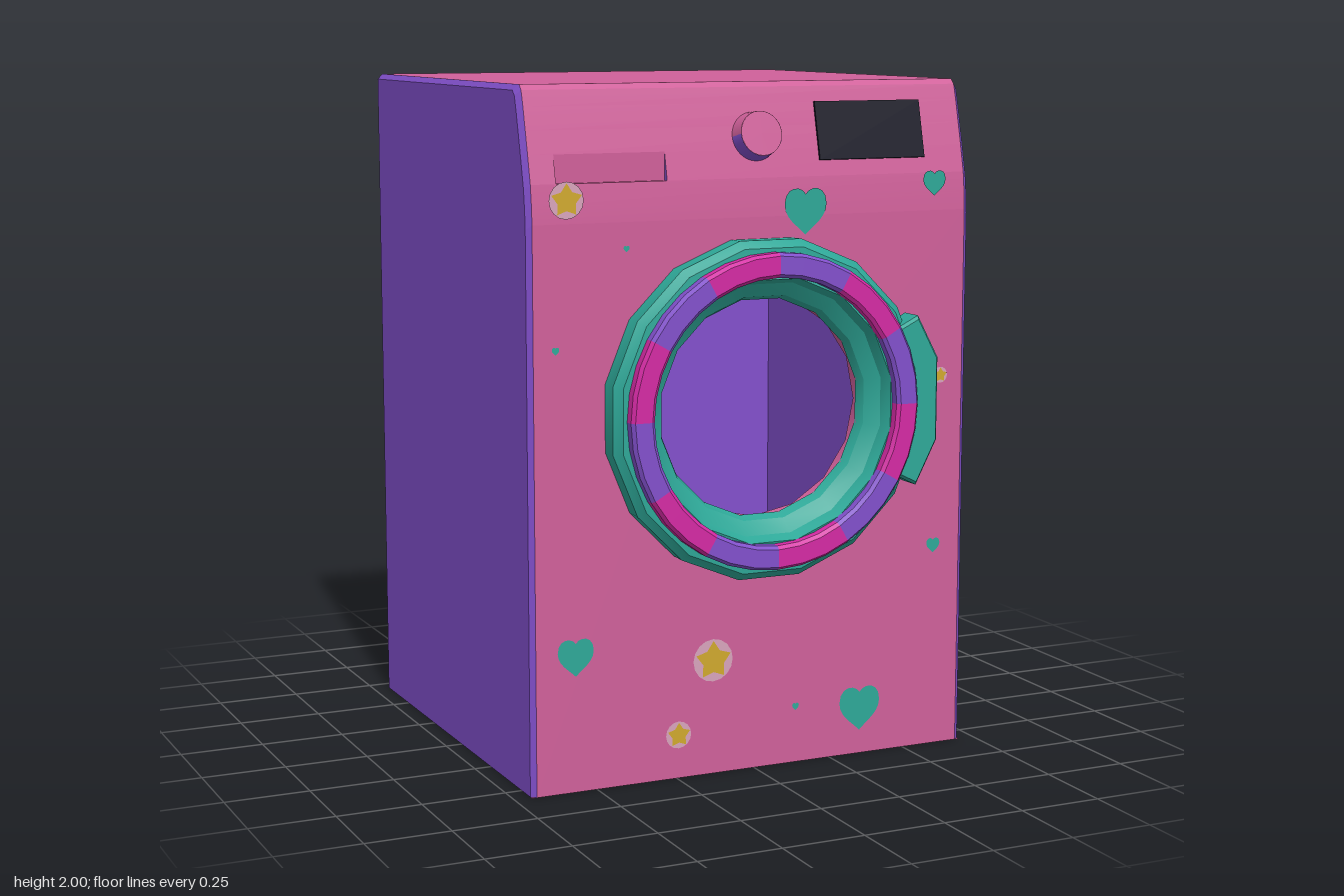
import * as THREE from 'three';
import { toCreasedNormals } from 'three/addons/utils/BufferGeometryUtils.js';

const material = (name, color, side = THREE.DoubleSide) => {
  const m = new THREE.MeshStandardMaterial({ color, side });
  m.name = name;
  return m;
};

export function createModel() {
  const pink = material('pink', 0xd0609a);
  const purple = material('purple', 0x8250cc);
  const teal = material('teal', 0x2ea898);
  const magenta = material('magenta', 0xd42aa4);
  const navy = material('navy', 0x0b0b20);
  const yellow = material('yellow', 0xd0a92e);
  const pale = material('pale pink', 0xd8a4bc);

  const model = new THREE.Group();
  model.name = 'washingMachine';
  const add = (name, geometry, mat, x = 0, y = 0, z = 0, parent = model) => {
    const mesh = new THREE.Mesh(geometry, mat);
    mesh.name = name;
    mesh.position.set(x, y, z);
    parent.add(mesh);
    return mesh;
  };

  // Cabinet dimensions and the leaning upper front, as [z, y]
  const W = 0.7, PANEL = 0.015, IN = W - PANEL, BACK = -0.7, FRONT = 0.58;
  const slope = [[FRONT, 1.62], [0.577, 1.67], [0.57, 1.73], [0.552, 1.81],
    [0.536, 1.875], [0.52, 1.94], [0.507, 1.985], [0.492, 2]];

  // Sheet swept across x along a [z, y] profile, running upwards on the front
  const sheet = (profile, x0, x1) => {
    const v = [];
    for (let i = 0; i < profile.length - 1; i++) {
      const [z0, y0] = profile[i], [z1, y1] = profile[i + 1];
      v.push(x0, y0, z0, x1, y0, z0, x1, y1, z1, x0, y0, z0, x1, y1, z1, x0, y1, z1);
    }
    const g = new THREE.BufferGeometry();
    g.setAttribute('position', new THREE.Float32BufferAttribute(v, 3));
    g.computeVertexNormals();
    return toCreasedNormals(g, 0.4);
  };

  // Side panels, with the outer face drawn in to bevel the front and top edges
  for (const dir of [-1, 1]) {
    const outline = new THREE.Shape([[BACK, 0], [FRONT, 0], ...slope, [BACK, 2]]
      .map(([z, y]) => new THREE.Vector2(z, y)));
    const g = new THREE.ExtrudeGeometry(outline, { depth: PANEL, bevelEnabled: false });
    g.rotateY(-Math.PI / 2).translate(dir > 0 ? W : -IN, 0, 0);
    const p = g.attributes.position;
    for (let i = 0; i < p.count; i++) {
      if (Math.abs(p.getX(i)) < W - 0.001) continue;
      p.setY(i, p.getY(i) * 0.992);
      p.setZ(i, BACK + (p.getZ(i) - BACK) * 0.99);
    }
    g.computeVertexNormals();
    add(dir > 0 ? 'leftSidePanel' : 'rightSidePanel', g, purple);
  }

  // Back, floor and top
  add('backPanel', new THREE.BoxGeometry(2 * IN, 1.996, 0.01), purple, 0, 0.998, BACK + 0.005);
  add('floorPanel', sheet([[BACK, 0], [FRONT, 0]], -W, W), pink);
  add('topPanel', sheet([[0.492, 2], [BACK, 2]], -IN, IN), pink);

  // Flat front with the round opening
  const CX = 0.015, CY = 1.072;
  const front = new THREE.Shape([[-IN, 0], [IN, 0], [IN, 1.62], [-IN, 1.62]]
    .map(([x, y]) => new THREE.Vector2(x, y)));
  front.holes.push(new THREE.Path().absarc(CX, CY, 0.325, 0, Math.PI * 2, true));
  add('frontPanel', new THREE.ShapeGeometry(front, 16), pink, 0, 0, FRONT);
  add('openingRim', new THREE.CylinderGeometry(0.325, 0.325, 0.04, 16, 1, true).rotateX(Math.PI / 2),
    pink, CX, CY, FRONT - 0.02);

  // Leaning control panel, cut away for the drawer recess
  const D0 = -0.61, D1 = -0.275;
  add('controlPanelLower', sheet(slope.slice(0, 3), -IN, IN), pink);
  add('controlPanelRight', sheet(slope.slice(2, 4), -IN, D0), pink);
  add('controlPanelLeft', sheet(slope.slice(2, 4), D1, IN), pink);
  add('controlPanelUpper', sheet(slope.slice(3), -IN, IN), pink);
  add('drawerRecess', sheet([[0.57, 1.73], [0.552, 1.73], [0.552, 1.81]], D0, D1), pink);
  for (const x of [D0, D1]) {
    const end = new THREE.Shape([[0.552, 1.73], [0.57, 1.73], [0.552, 1.81]]
      .map(([z, y]) => new THREE.Vector2(z, y)));
    add('drawerRecessEnd', new THREE.ShapeGeometry(end).rotateY(-Math.PI / 2), purple, x);
  }

  // Display and knob, tilted with the control panel
  const TILT = -0.238;
  add('display', new THREE.BoxGeometry(0.345, 0.17, 0.008), navy, 0.382, 1.858, 0.543).rotation.x = TILT;
  const knob = new THREE.Group();
  knob.name = 'knob';
  knob.position.set(0.01, 1.846, 0.543);
  knob.rotation.x = TILT;
  model.add(knob);
  const knobHalf = (start) => new THREE.CylinderGeometry(0.064, 0.071, 0.05, 24, 1, true, start, Math.PI)
    .rotateX(Math.PI / 2);
  add('knobLowerEdge', knobHalf(-Math.PI / 2), purple, 0, 0, 0.022, knob);
  add('knobUpperEdge', knobHalf(Math.PI / 2), pink, 0, 0, 0.022, knob);
  add('knobFace', new THREE.CircleGeometry(0.064, 24), pink, 0, 0, 0.047, knob);

  // Door: profiles of [radius, z] turned about the front axis
  const door = new THREE.Group();
  door.name = 'door';
  door.position.set(CX, CY, 0);
  model.add(door);
  const turned = (profile, sides, start, length) => toCreasedNormals(
    new THREE.LatheGeometry(profile.map(([r, z]) => new THREE.Vector2(r, z)), sides, start, length)
      .rotateX(Math.PI / 2), 0.5);
  add('doorFrame', turned([[0.495, 0.575], [0.497, 0.64], [0.475, 0.662], [0.4, 0.665], [0.385, 0.67],
    [0.37, 0.635], [0.33, 0.605], [0.318, 0.575]], 16, Math.PI / 16, Math.PI * 2), teal, 0, 0, 0, door);

  // Twelve alternating trim segments
  const trim = [[0.45, 0.655], [0.456, 0.665], [0.456, 0.692], [0.447, 0.703],
    [0.395, 0.703], [0.385, 0.694], [0.385, 0.655]];
  for (let i = 0; i < 12; i++) {
    add('doorTrimSegment', turned(trim, 3, i * Math.PI / 6, Math.PI / 6),
      i % 2 ? purple : magenta, 0, 0, 0, door);
  }

  // Handle hugging the left of the door
  const grip = new THREE.Shape([[0.405, -0.21], [0.46, -0.237], [0.523, -0.115], [0.523, 0.125],
    [0.46, 0.242], [0.405, 0.215], [0.45, 0.1], [0.45, -0.1]].map(([x, y]) => new THREE.Vector2(x, y)));
  add('handle', new THREE.ExtrudeGeometry(grip, {
    depth: 0.075, bevelThickness: 0.01, bevelSize: 0.008, bevelSegments: 1,
  }), teal, 0, 0, 0.598, door);

  // Painted hearts: x, y, width
  const heart = new THREE.Shape();
  heart.moveTo(0, -0.5);
  heart.bezierCurveTo(-0.2, -0.3, -0.5, -0.15, -0.5, 0.15);
  heart.bezierCurveTo(-0.5, 0.55, -0.1, 0.55, 0, 0.36);
  heart.bezierCurveTo(0.1, 0.55, 0.5, 0.55, 0.5, 0.15);
  heart.bezierCurveTo(0.5, -0.15, 0.2, -0.3, 0, -0.5);
  const DECAL = FRONT + 0.003;
  for (const [x, y, w] of [[0.155, 1.632, 0.135], [0.58, 1.7, 0.075], [-0.565, 0.395, 0.11],
    [0.35, 0.14, 0.135], [0.595, 0.615, 0.045], [-0.62, 1.27, 0.022], [-0.405, 1.545, 0.018],
    [0.135, 0.17, 0.022]]) {
    add('heart', new THREE.ShapeGeometry(heart, 6).scale(w, w, 1), teal, x, y, DECAL);
  }

  // Painted badges with a star: x, y, radius
  const star = new THREE.Shape(Array.from({ length: 10 }, (_, i) => {
    const a = Math.PI / 2 + i * Math.PI / 5, r = i % 2 ? 0.55 : 0.92;
    return new THREE.Vector2(r * Math.cos(a), r * Math.sin(a));
  }));
  for (const [x, y, r] of [[-0.585, 1.685, 0.052], [-0.135, 0.34, 0.063], [-0.245, 0.13, 0.04],
    [0.61, 1.13, 0.024]]) {
    add('badge', new THREE.CircleGeometry(r, 16), pale, x, y, DECAL);
    add('badgeStar', new THREE.ShapeGeometry(star).scale(r, r, 1), yellow, x, y, DECAL + 0.003);
  }

  return model;
}
